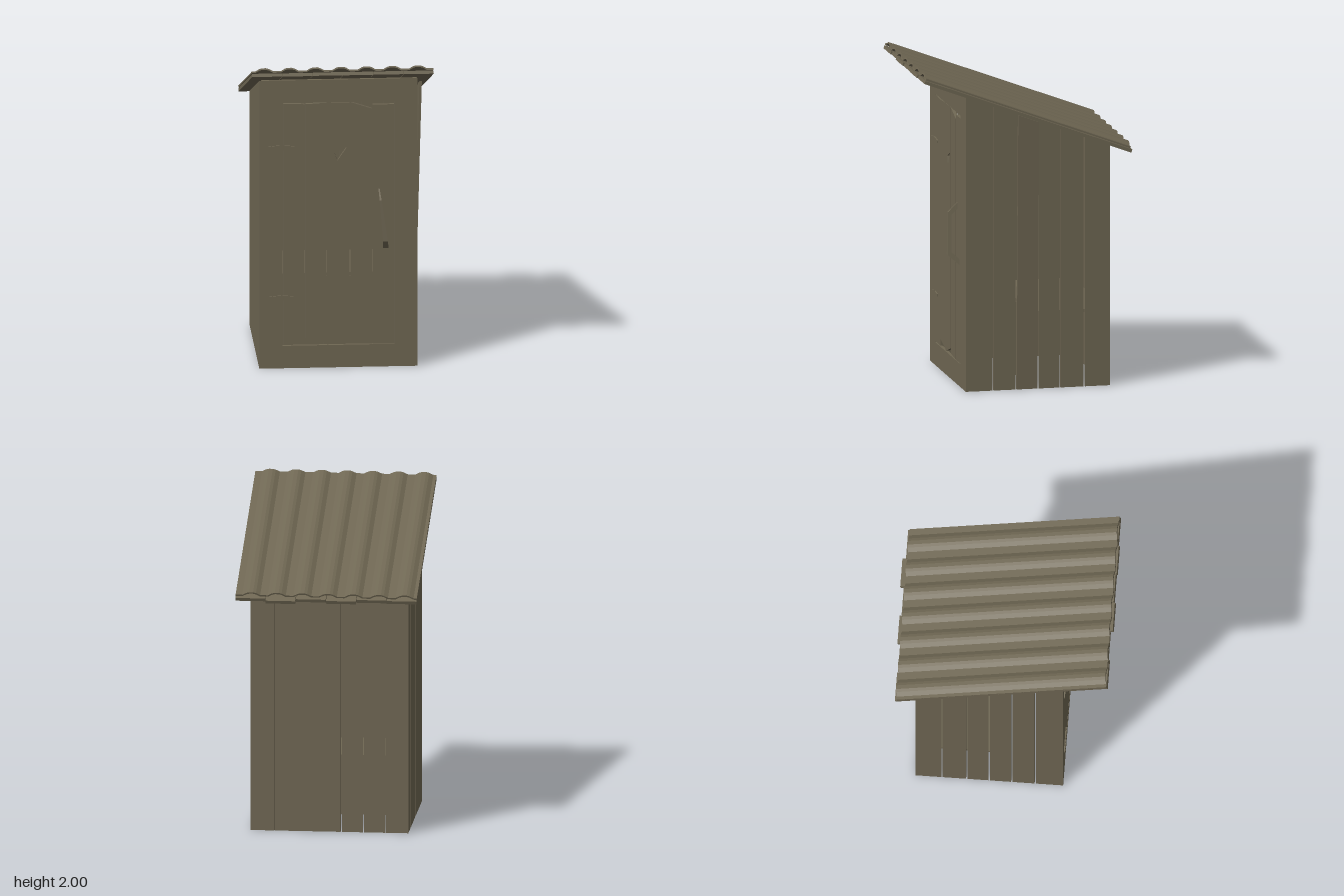
import * as THREE from 'three';

export function createModel() {
  const model = new THREE.Group();
  model.name = 'woodenShed';
  const wood = new THREE.MeshStandardMaterial({ color: 0x6f6753 });
  wood.name = 'weatheredWood';

  const add = (name, geometry, parent = model) => {
    const mesh = new THREE.Mesh(geometry, wood);
    mesh.name = name;
    parent.add(mesh);
    return mesh;
  };
  const shapeOf = (pts) => new THREE.Shape(pts.map(([x, y]) => new THREE.Vector2(x, y)));
  const slab = (shape, depth) =>
    new THREE.ExtrudeGeometry(shape, { depth, bevelEnabled: false, curveSegments: 5 });

  // Plank facing the front: outline in x, y, starting at depth z0
  const frontPlank = (name, pts, z0, depth = 0.02) =>
    add(name, slab(shapeOf(pts), depth).translate(0, 0, z0));
  // Plank facing the side: outline in z, y, starting at x0
  const sideSlab = (pts, x0, depth) =>
    slab(shapeOf(pts.map(([z, y]) => [-z, y])), depth).rotateY(Math.PI / 2).translate(x0, 0, 0);
  const rect = (x0, x1, y0, y1) => [[x0, y0], [x1, y0], [x1, y1], [x0, y1]];

  const slope = 0.376;
  const wallTop = (z) => 1.7 + slope * z;

  // Door frame
  frontPlank('leftPost', rect(-0.485, -0.352, 0, 1.84), 0.355);
  frontPlank('rightPost', rect(0.332, 0.47, 0, 1.84), 0.355);
  frontPlank('lintel', rect(-0.352, 0.332, 1.695, 1.84), 0.355);
  frontPlank('threshold', rect(-0.352, 0.332, 0, 0.143), 0.355);

  // Door boards: left x, right x, bottom left/right, top left/right
  [
    [-0.348, -0.218, 0.15, 0.15, 1.69, 1.685],
    [-0.213, -0.084, 0.188, 0.157, 1.685, 1.692],
    [-0.079, 0.058, 0.145, 0.187, 1.692, 1.692],
    [0.064, 0.194, 0.157, 0.147, 1.693, 1.65],
    [0.199, 0.33, 0.146, 0.146, 1.675, 1.675],
  ].forEach(([l, r, bl, br, tl, tr], i) => {
    const shape = shapeOf([[l, bl], [r, br], [r, tr], [l, tl]]);
    if (i === 2) {
      // Triangular peep hole
      shape.holes.push(new THREE.Path([[0.04, 1.405], [-0.036, 1.372], [-0.016, 1.32]]
        .map(([x, y]) => new THREE.Vector2(x, y))));
    }
    add('doorBoard', slab(shape, 0.02).translate(0, 0, 0.354));
  });

  // Hinges: a pair of pointed leaves each
  for (const y of [0.45, 1.41]) {
    for (const s of [-1, 1]) {
      const pts = [[0.004, -0.016], [0.05, -0.012], [0.08, -0.008],
        [0.08, 0.008], [0.05, 0.012], [0.004, 0.016]];
      if (s < 0) pts.reverse();
      frontPlank('hinge', pts.map(([x, py]) => [-0.36 + s * x, y + py]), 0.374, 0.008);
    }
  }

  // Handle: bent strip, widening and drifting sideways towards the bottom
  const handle = sideSlab([[0.37, 1.14], [0.435, 1.08], [0.445, 0.82], [0.37, 0.752],
    [0.37, 0.79], [0.42, 0.835], [0.412, 1.065], [0.37, 1.1]], 0, 1);
  const hp = handle.attributes.position;
  for (let i = 0; i < hp.count; i++) {
    const t = (1.14 - hp.getY(i)) / 0.39;
    hp.setX(i, 0.238 + 0.043 * t + (hp.getX(i) - 0.5) * (0.008 + 0.026 * t));
  }
  handle.computeVertexNormals();
  add('doorHandle', handle);

  // Side walls; the third board on one side leans outwards
  const seams = [0.375, 0.204, 0.06, -0.079, -0.216, -0.368, -0.53];
  for (const side of [-1, 1]) {
    for (let i = 0; i < 6; i++) {
      const z0 = seams[i] - (i ? 0.004 : 0);
      const z1 = seams[i + 1] + (i < 5 ? 0.004 : 0);
      const pts = [[z0, 0], [z0, wallTop(z0)], [z1, wallTop(z1)], [z1, 0]];
      const board = add('sideBoard', sideSlab(pts, side < 0 ? 0 : -0.015, 0.015));
      board.position.x = side < 0 ? -0.495 : 0.475;
      if (side > 0 && i === 2) board.rotation.z = -0.027;
    }
  }

  // Back wall
  [[-0.48, -0.355], [-0.352, -0.222], [-0.217, -0.088], [-0.08, 0.055],
    [0.056, 0.19], [0.191, 0.325], [0.326, 0.46]].forEach(([l, r]) =>
    frontPlank('backBoard', rect(l, r, 0, 1.5), -0.53, 0.015));

  // Bench inside
  for (let i = 0; i < 7; i++) {
    const l = -0.478 + i * 0.134;
    frontPlank('benchFront', rect(l, l + 0.131, 0, 0.46), -0.05, 0.015);
  }
  add('benchSeat', new THREE.BoxGeometry(0.935, 0.02, 0.475).translate(-0.01, 0.47, -0.275));

  // Roof, tilted about the x axis
  const roof = new THREE.Group();
  roof.name = 'roof';
  roof.position.y = 1.705;
  roof.rotation.x = -Math.atan(slope);
  model.add(roof);
  const stretch = Math.hypot(1, slope);

  // Roof boards of uneven length: front z, back z
  [[0.653, -0.645], [0.645, -0.64], [0.663, -0.657], [0.655, -0.645],
    [0.66, -0.667], [0.653, -0.645]].forEach(([f, b], i) => {
    const len = (f - b) * stretch;
    add('roofBoard', new THREE.BoxGeometry(0.183, 0.02, len)
      .translate(-0.465 + i * 0.1858, 0.01, (f + b) / 2 * stretch), roof);
  });

  // Corrugated sheet: flat troughs with raised ridges
  const top = [[-0.558, 0]];
  for (let i = 0; i < 7; i++) {
    const c = -0.483 + i * 0.157;
    for (const [dx, h] of [[-0.055, 0], [-0.03, 0.014], [-0.012, 0.019],
      [0.012, 0.019], [0.03, 0.014], [0.055, 0]]) top.push([c + dx, h]);
  }
  top.push([0.555, 0]);
  const outline = [...top.map(([x, y]) => [x, y + 0.01]), ...top.slice().reverse()];
  const length = 1.283 * stretch;
  add('corrugatedSheet', slab(shapeOf(outline), length)
    .translate(0, 0.024, -length / 2 + 0.012), roof);

  return model;
}
